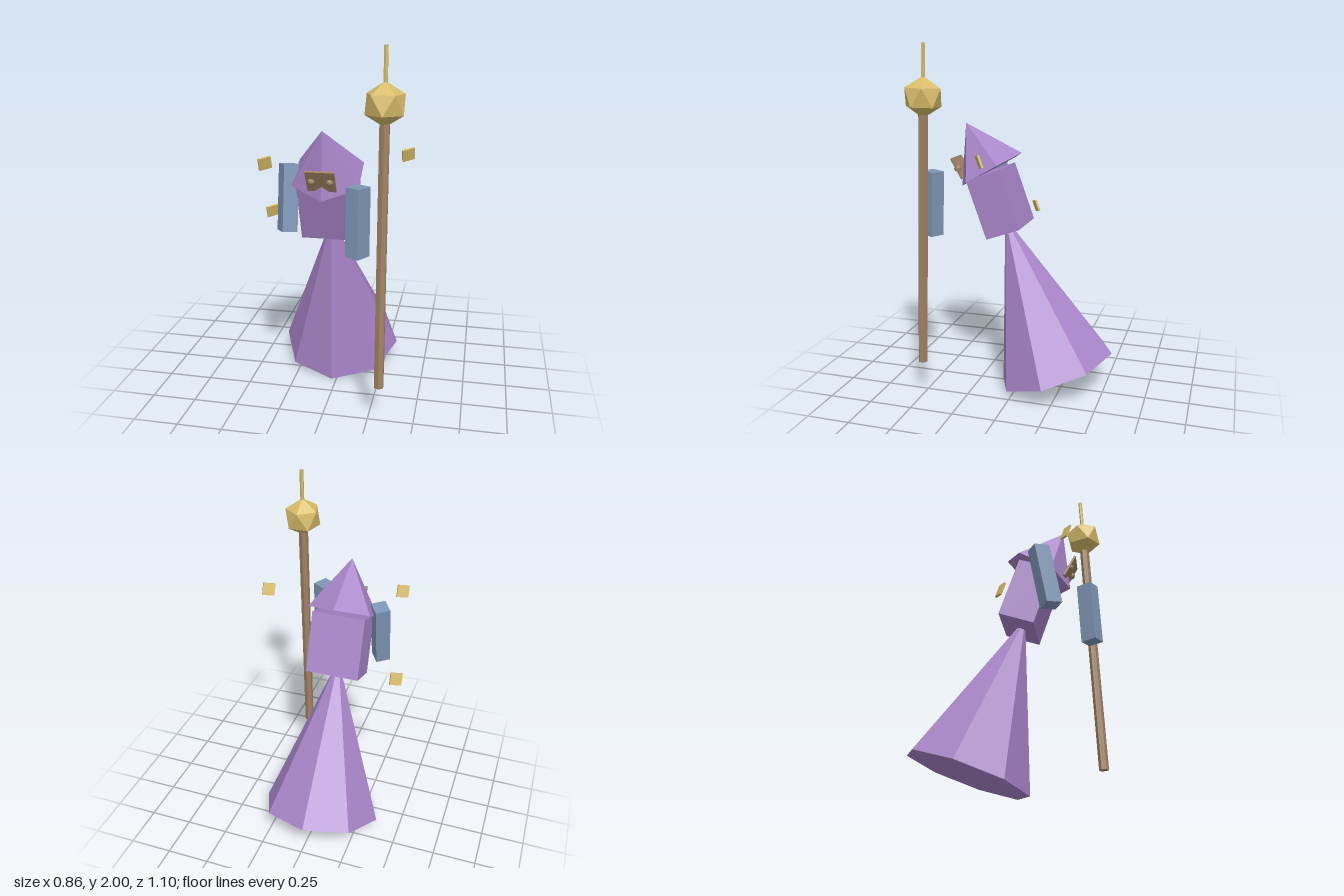
import * as THREE from 'three';

const material = (name, color) => {
  const m = new THREE.MeshStandardMaterial({ color });
  m.name = name;
  return m;
};

// Faceted geometry with one normal per face
const faceted = (geometry) => {
  const g = geometry.index ? geometry.toNonIndexed() : geometry;
  g.computeVertexNormals();
  return g;
};

export function createModel() {
  const purple = material('purple cloth', 0xa884c8);
  const blue = material('blue sleeve', 0x7e97b5);
  const brown = material('brown wood', 0xa08262);
  const gold = material('gold', 0xd9bd6a);

  const model = new THREE.Group();
  model.name = 'robedFigure';

  const add = (parent, name, geometry, mat, position, rotation = [0, 0, 0]) => {
    const mesh = new THREE.Mesh(faceted(geometry), mat);
    mesh.name = name;
    mesh.position.set(...position);
    mesh.rotation.set(...rotation);
    parent.add(mesh);
    return mesh;
  };

  const midX = -0.029;

  // Robe: skirt, torso and hood, each leaning forward
  const lean = 0.342;
  const skirtHeight = 0.945;
  add(model, 'skirt', new THREE.ConeGeometry(0.353, skirtHeight, 8), purple, [
    midX,
    0.12 + (skirtHeight / 2) * Math.cos(lean),
    -0.2125 + (skirtHeight / 2) * Math.sin(lean),
  ], [lean, 0, 0]);
  add(model, 'torso', new THREE.BoxGeometry(0.312, 0.353, 0.206), purple, [midX, 1.112, 0.13], [lean, 0, 0]);

  const nod = 0.52;
  const hoodHeight = 0.306;
  add(model, 'hood', new THREE.ConeGeometry(0.21, hoodHeight, 6), purple, [
    midX,
    1.29 + (hoodHeight / 2) * Math.cos(nod),
    0.186 + (hoodHeight / 2) * Math.sin(nod),
  ], [nod, 0, 0]);

  // Mask plate with two round eyes; the hood's front edge pokes through below
  const mask = new THREE.Group();
  mask.name = 'mask';
  mask.position.set(midX, 1.297, 0.373);
  mask.rotation.x = nod;
  model.add(mask);
  add(mask, 'maskPlate', new THREE.BoxGeometry(0.155, 0.135, 0.012), brown, [0, 0, 0]);
  for (const side of [-1, 1]) {
    add(mask, side < 0 ? 'rightEye' : 'leftEye', new THREE.IcosahedronGeometry(0.021, 1), brown, [side * 0.05, 0, 0.003]);
  }

  // Free-hanging sleeves
  const sleeve = () => new THREE.BoxGeometry(0.085, 0.368, 0.095);
  add(model, 'rightArm', sleeve(), blue, [-0.2405, 1.163, 0.2405], [-0.17, 0.57, 0]);
  add(model, 'leftArm', sleeve(), blue, [0.183, 1.119, 0.468], [-0.035, -0.52, 0]);

  // Staff: rod, faceted orb standing on a vertex, and a thin spike
  const staff = new THREE.Group();
  staff.name = 'staff';
  staff.position.set(0.31, 0.205, 0.5);
  staff.rotation.x = -0.033;
  model.add(staff);
  add(staff, 'rod', new THREE.CylinderGeometry(0.028, 0.028, 1.45, 6), brown, [0, 0.725, 0]);
  const orb = new THREE.IcosahedronGeometry(0.112, 0);
  orb.rotateX(-Math.atan((1 + Math.sqrt(5)) / 2));
  orb.rotateY(Math.PI);
  add(staff, 'orb', orb, gold, [0, 1.515, 0]);
  add(staff, 'spike', new THREE.CylinderGeometry(0.0115, 0.0115, 0.22, 6), gold, [0, 1.686, 0]);

  // Floating gold plates
  const plates = [[-0.328, 1.38, 0.37], [-0.397, 1.012, 0.018], [0.396, 1.4, 0.108]];
  plates.forEach((position, i) => {
    add(model, `floatingPlate${i + 1}`, new THREE.BoxGeometry(0.07, 0.07, 0.012), gold, position, [0.35, 0.57, 0]);
  });

  return model;
}
